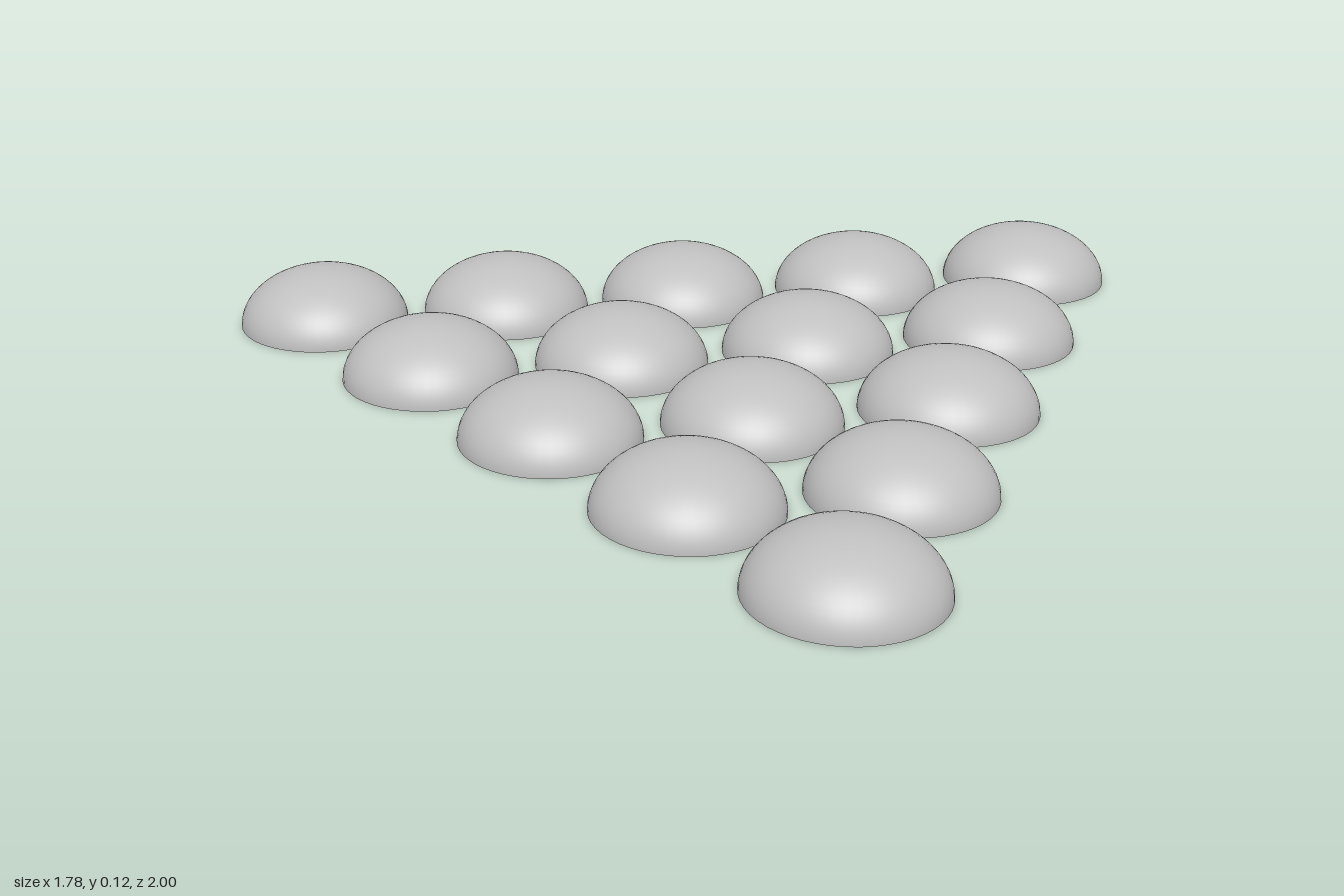
import * as THREE from 'three';

const RADIUS = 0.185, HEIGHT = 0.125;
const PITCH = 0.4075;                       // spacing within a row
const ROW_STEP = PITCH * Math.sqrt(3) / 2;  // spacing between rows
const ROWS = 5;

export function createModel() {
  const model = new THREE.Group();
  model.name = 'domeTriangle';
  const grey = new THREE.MeshStandardMaterial({ color: 0xc0c0c0 });
  grey.name = 'grey';

  // Half ellipsoid shell and the flat disc closing it
  const domeGeometry = new THREE.SphereGeometry(1, 48, 16, 0, Math.PI * 2, 0, Math.PI / 2);
  domeGeometry.scale(RADIUS, HEIGHT, RADIUS);
  const baseGeometry = new THREE.CircleGeometry(RADIUS, 48);
  baseGeometry.rotateX(Math.PI / 2);

  // Triangular packing: one dome at the -x tip, five along the +x side
  for (let row = 0; row < ROWS; row++) {
    for (let i = 0; i <= row; i++) {
      const bump = new THREE.Group();
      bump.name = `bumpRow${row + 1}Number${i + 1}`;
      const dome = new THREE.Mesh(domeGeometry, grey);
      dome.name = 'dome';
      const base = new THREE.Mesh(baseGeometry, grey);
      base.name = 'flatBase';
      bump.add(dome, base);
      bump.position.set((row - (ROWS - 1) / 2) * ROW_STEP, 0, (i - row / 2) * PITCH);
      model.add(bump);
    }
  }
  return model;
}
